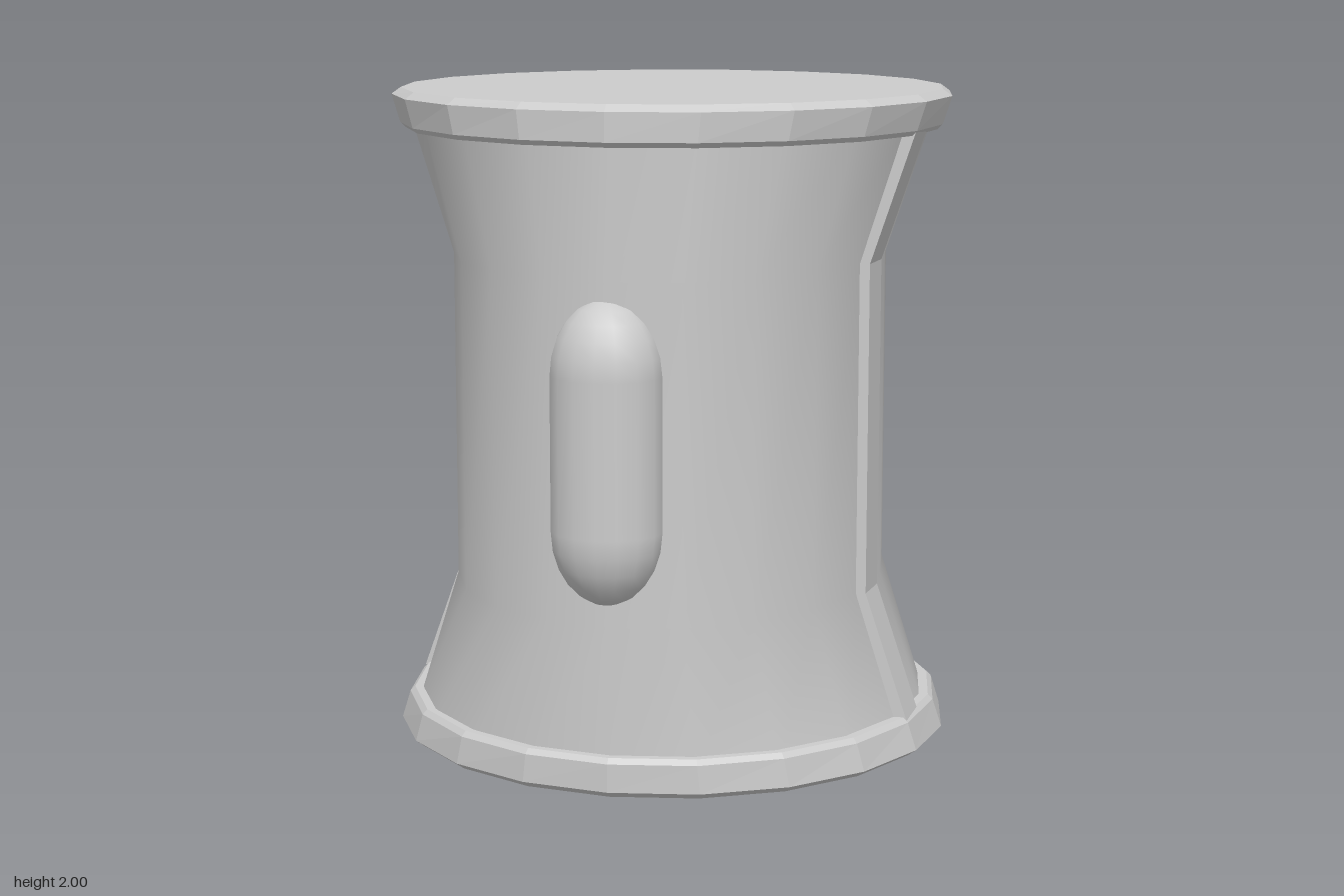
import * as THREE from 'three';

const SIDES = 20;
const GREY = { color: 0xcccccc };

// Closed loft through elliptical rings given as [y, radiusX, radiusZ]
function loft(rings, centreZ) {
  const pos = [], idx = [];
  for (const [y, rx, rz] of rings) {
    for (let j = 0; j < SIDES; j++) {
      const a = (j / SIDES) * Math.PI * 2;
      pos.push(rx * Math.sin(a), y, centreZ + rz * Math.cos(a));
    }
  }
  for (let i = 0; i < rings.length - 1; i++) {
    for (let j = 0; j < SIDES; j++) {
      const k = (j + 1) % SIDES;
      const a = i * SIDES + j, b = i * SIDES + k;
      idx.push(a, b, b + SIDES, a, b + SIDES, a + SIDES);
    }
  }
  const last = (rings.length - 1) * SIDES;
  for (let j = 1; j < SIDES - 1; j++) {
    idx.push(0, j + 1, j);
    idx.push(last, last + j, last + j + 1);
  }
  const geo = new THREE.BufferGeometry();
  geo.setAttribute('position', new THREE.Float32BufferAttribute(pos, 3));
  geo.setIndex(idx);
  return geo;
}

// Upright seam rib following the waisted side, slightly angled along its width
function ribGeometry(flare, waist, width, taper) {
  const shape = new THREE.Shape([
    [0.5, 0.11], [flare, 0.11], [waist, 0.5], [waist, 1.5], [flare, 1.89], [0.5, 1.89],
  ].map(([x, y]) => new THREE.Vector2(x, y)));
  const geo = new THREE.ExtrudeGeometry(shape, { depth: width, bevelEnabled: false });
  const p = geo.attributes.position;
  for (let i = 0; i < p.count; i++) {
    if (p.getX(i) > 0.55) p.setX(i, p.getX(i) - taper * p.getZ(i) / width);
  }
  geo.computeVertexNormals();
  return geo;
}

export function createModel() {
  const group = new THREE.Group();
  const smooth = new THREE.MeshStandardMaterial(GREY);
  const flat = new THREE.MeshStandardMaterial({ ...GREY, flatShading: true });
  const add = (name, geo, mat) => {
    const mesh = new THREE.Mesh(geo, mat);
    mesh.name = name;
    group.add(mesh);
    return mesh;
  };

  // Body: waisted across x, constant depth in z; end faces lie inside the caps
  const body = loft([
    [0.08, 0.8, 0.82], [0.5, 0.66, 0.82], [1.5, 0.66, 0.82], [1.92, 0.8, 0.82],
  ], 0.02);
  body.setIndex(Array.from(body.index.array).slice(0, 3 * SIDES * 6));
  body.computeVertexNormals();
  add('body', body, smooth);

  // End caps, mirrored top and bottom
  const capRings = [[0, 0.83, 0.84], [0.02, 0.858, 0.865], [0.105, 0.83, 0.865], [0.12, 0.815, 0.85]];
  add('bottomCap', loft(capRings, 0.015), flat);
  add('topCap', loft(capRings.map(([y, x, z]) => [2 - y, x, z]).reverse(), 0.015), flat);

  // Seam ribs on both sides
  const leftRib = add('leftRib', ribGeometry(0.8, 0.67, 0.13, 0.015), flat);
  leftRib.position.z = 0.15;
  const rightRib = add('rightRib', ribGeometry(0.83, 0.69, 0.13, 0.03), flat);
  rightRib.rotation.y = Math.PI;

  // Rounded lugs on the front and back
  const lug = new THREE.CapsuleGeometry(0.22, 0.45, 6, 16);
  const front = add('frontLug', lug, smooth);
  front.position.set(-0.015, 1.005, 0.805);
  front.scale.set(0.75, 1, 0.68);
  const back = add('backLug', lug, smooth);
  back.position.set(0.015, 1.005, -0.78);
  back.scale.set(0.75, 1.02, 0.8);

  return group;
}
